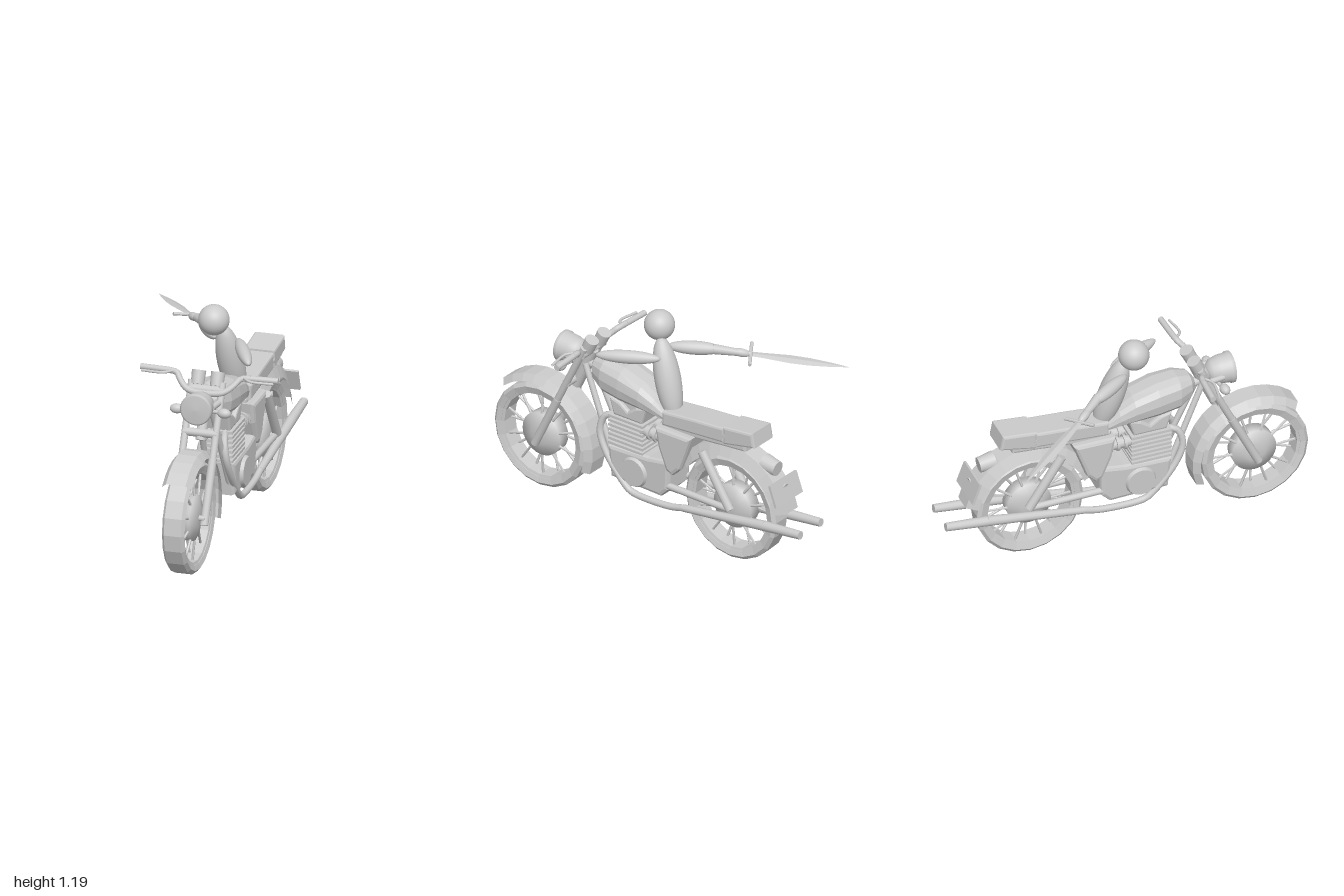
import * as THREE from 'three';

const V = (x, y, z) => new THREE.Vector3(x, y, z);
const smooth = new THREE.MeshStandardMaterial({ color: 0xcccccc, side: THREE.DoubleSide });
const flat = new THREE.MeshStandardMaterial({ color: 0xcccccc, side: THREE.DoubleSide, flatShading: true });
const UP = V(0, 1, 0);

function add(parent, name, geo, pos = V(0, 0, 0), mat = flat) {
  const m = new THREE.Mesh(geo, mat);
  m.name = name;
  m.position.copy(pos);
  parent.add(m);
  return m;
}

// Straight rod between two points
function rod(parent, name, a, b, r0, r1 = r0, sides = 12) {
  const d = b.clone().sub(a);
  const m = add(parent, name, new THREE.CylinderGeometry(r1, r0, d.length(), sides), a.clone().lerp(b, 0.5), sides > 8 ? smooth : flat);
  m.quaternion.setFromUnitVectors(UP, d.normalize());
  return m;
}

// Rounded limb stretched between two points
function limb(parent, name, a, b, rx, rz = rx) {
  const d = b.clone().sub(a);
  const m = add(parent, name, new THREE.SphereGeometry(1, 20, 14), a.clone().lerp(b, 0.5), smooth);
  m.scale.set(rx, d.length() / 2, rz);
  m.quaternion.setFromUnitVectors(UP, d.normalize());
  return m;
}

function pipe(parent, name, pts, r) {
  const curve = new THREE.CatmullRomCurve3(pts, false, 'centripetal');
  return add(parent, name, new THREE.TubeGeometry(curve, 28, r, 10), undefined, smooth);
}

// Side outline of [z, y] points extruded across x
function plate(parent, name, outline, width, bevel = 0.012) {
  const shape = new THREE.Shape(outline.map(([z, y]) => new THREE.Vector2(z, y)));
  const depth = width - 2 * bevel;
  const geo = new THREE.ExtrudeGeometry(shape, { depth, bevelSize: bevel, bevelOffset: -bevel, bevelThickness: bevel, bevelSegments: 2 });
  return add(parent, name, geo.translate(0, 0, -depth / 2).rotateY(-Math.PI / 2));
}

// Loft of rounded sections [z, bottom, top, halfWidth], z ascending
function loft(sections, n = 14, power = 0.75) {
  const pos = [], idx = [];
  const bend = v => Math.sign(v) * Math.abs(v) ** power;
  for (const [z, b, t, w] of sections)
    for (let j = 0; j < n; j++) {
      const a = (j / n) * Math.PI * 2;
      pos.push(w * bend(Math.cos(a)), (b + t) / 2 + ((t - b) / 2) * bend(Math.sin(a)), z);
    }
  const last = (sections.length - 1) * n;
  for (let i = 0; i < last; i += n)
    for (let j = 0; j < n; j++) {
      const k = (j + 1) % n;
      idx.push(i + j, i + k, i + n + k, i + j, i + n + k, i + n + j);
    }
  for (let j = 1; j < n - 1; j++) idx.push(0, j + 1, j, last, last + j, last + j + 1);
  const g = new THREE.BufferGeometry();
  g.setAttribute('position', new THREE.Float32BufferAttribute(pos, 3));
  g.setIndex(idx);
  g.computeVertexNormals();
  return g;
}

// Profile of [radius, x] revolved about the x axis; angles run from +z towards +y
function ring(profile, segs, start = 0, sweep = 360) {
  const rad = Math.PI / 180;
  return new THREE.LatheGeometry(profile.map(([r, x]) => new THREE.Vector2(r, x)), segs, start * rad, sweep * rad).rotateZ(Math.PI / 2);
}

function wheel(parent, name, z) {
  const g = new THREE.Group();
  g.name = name;
  g.position.set(0, 0.295, z);
  parent.add(g);
  add(g, 'tyre', ring([[0.245, -0.052], [0.272, -0.06], [0.29, -0.045], [0.29, 0.045], [0.272, 0.06], [0.245, 0.052], [0.245, -0.052]], 20));
  add(g, 'rim', ring([[0.247, -0.05], [0.23, -0.045], [0.23, 0.045], [0.247, 0.05]], 20));
  add(g, 'hub', ring([[0, -0.055], [0.05, -0.055], [0.12, -0.035], [0.12, 0.035], [0.05, 0.055], [0, 0.055]], 24), undefined, smooth);
  for (let i = 0; i < 20; i++) {
    const a = (i / 20) * Math.PI * 2, s = i % 2 ? 1 : -1;
    const at = (r, x) => V(x, Math.sin(a) * r, Math.cos(a) * r);
    rod(g, 'spoke', at(0.11, s * 0.03), at(0.235, s * 0.018), 0.007, 0.007, 6);
  }
  rod(g, 'axle', V(-0.085, 0, 0), V(0.085, 0, 0), 0.015);
}

function buildRider(root) {
  const g = new THREE.Group();
  g.name = 'rider';
  root.add(g);
  add(g, 'head', new THREE.SphereGeometry(0.08, 28, 20), V(0.048, 1.113, 0.035), smooth);
  limb(g, 'torso', V(0.13, 0.64, -0.13), V(0.085, 1.07, 0.0), 0.07, 0.068);
  limb(g, 'leftArm', V(0.15, 0.985, -0.05), V(0.3, 0.975, 0.25), 0.035);
  limb(g, 'rightUpperArm', V(0.04, 1.0, -0.01), V(-0.11, 0.995, -0.25), 0.036);
  rod(g, 'rightForearm', V(-0.08, 0.998, -0.21), V(-0.17, 0.975, -0.325), 0.027, 0.018);
  limb(g, 'rightHand', V(-0.14, 0.985, -0.28), V(-0.2, 0.965, -0.36), 0.022);

  // Sword: local x along the guard, local z along the blade
  const d = V(-0.277, -0.065, -0.385).normalize();
  const x = V(-0.15, 0.03, 0.1);
  x.addScaledVector(d, -x.dot(d)).normalize();
  const sword = new THREE.Group();
  sword.name = 'sword';
  sword.position.set(-0.2, 0.968, -0.36);
  sword.quaternion.setFromRotationMatrix(new THREE.Matrix4().makeBasis(x, d.clone().cross(x), d));
  g.add(sword);
  add(sword, 'blade', loft([[0, 0.019], [0.06, 0.021], [0.2, 0.033], [0.3, 0.031], [0.42, 0.017], [0.505, 0.001]]
    .map(([z, w]) => [z, -w * 0.2, w * 0.2, w]), 4, 1));
  rod(sword, 'guard', V(-0.092, 0, 0), V(0.092, 0, 0), 0.009, 0.009, 8);
  rod(sword, 'grip', V(0, 0, -0.15), V(0, 0, 0), 0.012);
  add(sword, 'pommel', new THREE.SphereGeometry(0.017, 12, 8), V(0, 0, -0.15), smooth);
}

export function createModel() {
  const root = new THREE.Group();
  root.name = 'motorcycleAndRider';
  const bike = new THREE.Group();
  bike.name = 'motorcycle';
  bike.position.x = 0.124;
  root.add(bike);

  wheel(bike, 'frontWheel', 0.71);
  wheel(bike, 'rearWheel', -0.52);

  // Mudguards
  const guard = (outer, inner) => [[inner, -0.08], [outer, -0.052], [outer, 0.052], [inner, 0.08]];
  add(bike, 'frontMudguard', ring(guard(0.345, 0.31), 12, 48, 152), V(0, 0.295, 0.71));
  add(bike, 'rearMudguard', ring(guard(0.362, 0.3), 12, 18, 150), V(0, 0.295, -0.52));

  // Tank and seat
  add(bike, 'tank', loft([[-0.1, 0.65, 0.71, 0.07], [-0.04, 0.66, 0.77, 0.09], [0.04, 0.67, 0.825, 0.105],
    [0.17, 0.675, 0.867, 0.11], [0.29, 0.69, 0.878, 0.1], [0.36, 0.73, 0.86, 0.07], [0.385, 0.77, 0.83, 0.035]]));
  plate(bike, 'seatFront', [[-0.1, 0.64], [-0.1, 0.72], [-0.3, 0.74], [-0.5, 0.755], [-0.5, 0.67]], 0.16);
  plate(bike, 'seatRear', [[-0.495, 0.665], [-0.495, 0.765], [-0.68, 0.785], [-0.695, 0.705]], 0.165);
  rod(bike, 'seatStrap', V(-0.083, 0.71, -0.5), V(0.083, 0.71, -0.5), 0.012);

  // Engine with cooling fins
  plate(bike, 'crankcase', [[0.24, 0.42], [0.22, 0.24], [-0.1, 0.23], [-0.15, 0.28], [-0.155, 0.45], [-0.02, 0.43]], 0.19, 0.02);
  add(bike, 'cylinderBlock', new THREE.BoxGeometry(0.12, 0.22, 0.18), V(0, 0.5, 0.13));
  for (let i = 0; i < 7; i++)
    add(bike, 'coolingFin', new THREE.BoxGeometry(0.17, 0.014, 0.22), V(0, 0.43 + i * 0.026, 0.13));
  plate(bike, 'cylinderHead', [[0.22, 0.59], [0.25, 0.69], [0.18, 0.67], [0.13, 0.635], [0.08, 0.67], [0.01, 0.69], [0.04, 0.59]], 0.14);
  add(bike, 'cylinderCore', new THREE.BoxGeometry(0.09, 0.08, 0.12), V(0, 0.65, 0.13));
  plate(bike, 'sidePanel', [[-0.07, 0.63], [-0.3, 0.63], [-0.23, 0.43], [-0.18, 0.38], [-0.14, 0.4], [-0.09, 0.52]], 0.21, 0.02);
  plate(bike, 'underSeatFrame', [[-0.08, 0.6], [-0.08, 0.65], [-0.62, 0.7], [-0.62, 0.65]], 0.12);

  // Paired parts on both sides
  for (const s of [-1, 1]) {
    const P = (x, y, z) => V(s * x, y, z);
    rod(bike, 'forkLower', P(0.082, 0.26, 0.715), P(0.082, 0.57, 0.565), 0.022);
    rod(bike, 'forkUpper', P(0.082, 0.56, 0.57), P(0.082, 0.92, 0.395), 0.019);
    rod(bike, 'headlightBracket', P(0.08, 0.83, 0.44), P(0.065, 0.83, 0.53), 0.016);
    rod(bike, 'indicatorStem', P(0.06, 0.8, 0.5), P(0.11, 0.8, 0.51), 0.01);
    limb(bike, 'indicator', P(0.09, 0.8, 0.51), P(0.162, 0.8, 0.515), 0.026);
    rod(bike, 'gauge', P(0.051, 0.9, 0.4), P(0.051, 0.965, 0.37), 0.034, 0.037, 20);
    rod(bike, 'grip', P(0.22, 0.945, 0.362), P(0.366, 0.945, 0.355), 0.016);
    pipe(bike, 'lever', [P(0.19, 0.948, 0.375), P(0.23, 0.945, 0.405), P(0.35, 0.94, 0.395)], 0.007);
    rod(bike, 'crankCover', P(0.085, 0.32, 0.065), P(0.113, 0.32, 0.065), 0.087, 0.075, 24);
    rod(bike, 'carburettor', P(0.045, 0.555, 0.05), P(0.045, 0.55, -0.1), 0.03);
    for (const z of [0, -0.04, -0.08]) rod(bike, 'intakeRib', P(0.045, 0.553, z), P(0.045, 0.553, z - 0.014), 0.04);
    pipe(bike, 'exhaustPipe', [P(0.04, 0.58, 0.22), P(0.055, 0.56, 0.28), P(0.07, 0.48, 0.305), P(0.08, 0.37, 0.26),
      P(0.085, 0.21, 0.12), P(0.085, 0.19, 0.08), P(0.085, 0.19, -0.15), P(0.085, 0.215, -0.26)], 0.018);
    rod(bike, 'muffler', P(0.085, 0.21, -0.24), P(0.085, 0.285, -0.77), 0.019, 0.027);
    rod(bike, 'mufflerTip', P(0.085, 0.285, -0.77), P(0.085, 0.308, -0.997), 0.027, 0.022);
    rod(bike, 'frameDownTube', P(0.03, 0.8, 0.43), P(0.06, 0.3, 0.21), 0.016);
    rod(bike, 'frameLowerTube', P(0.06, 0.3, 0.21), P(0.06, 0.22, 0.1), 0.016);
    rod(bike, 'swingArm', P(0.075, 0.3, -0.1), P(0.075, 0.295, -0.53), 0.018);
    rod(bike, 'rearShock', P(0.082, 0.58, -0.36), P(0.082, 0.3, -0.54), 0.024);
  }

  // Handlebar and steering head
  const half = [[0.22, 0.945, 0.362], [0.17, 0.94, 0.37], [0.145, 0.915, 0.395], [0.115, 0.89, 0.42], [0.08, 0.875, 0.435]];
  pipe(bike, 'handlebar', [...half.map(([x, y, z]) => V(-x, y, z)), ...half.reverse().map(([x, y, z]) => V(x, y, z))], 0.016);
  rod(bike, 'upperForkClamp', V(-0.09, 0.88, 0.41), V(0.09, 0.88, 0.41), 0.024);
  rod(bike, 'lowerForkClamp', V(-0.09, 0.68, 0.51), V(0.09, 0.68, 0.51), 0.022);
  rod(bike, 'steeringHead', V(0, 0.64, 0.51), V(0, 0.88, 0.4), 0.028);
  rod(bike, 'topTube', V(0, 0.8, 0.43), V(0, 0.68, -0.1), 0.025);

  // Headlight bowl, turned to face forwards
  const bowl = [[0, 0], [0.035, 0.005], [0.062, 0.03], [0.074, 0.07], [0.078, 0.12], [0.083, 0.122], [0.083, 0.142], [0.074, 0.145], [0, 0.15]];
  add(bike, 'headlight', new THREE.LatheGeometry(bowl.map(([r, y]) => new THREE.Vector2(r, y)), 28).rotateX(Math.PI / 2), V(0, 0.835, 0.455), smooth);

  // Tail light and rear plate
  rod(bike, 'tailLight', V(0, 0.595, -0.7), V(0, 0.585, -0.785), 0.05, 0.04, 16);
  const plateMesh = add(bike, 'rearPlate', new THREE.BoxGeometry(0.22, 0.12, 0.014), V(0, 0.485, -0.835));
  plateMesh.rotation.x = 0.35;
  rod(bike, 'plateBracket', V(0, 0.5, -0.78), V(0, 0.49, -0.835), 0.025);

  buildRider(root);
  return root;
}
